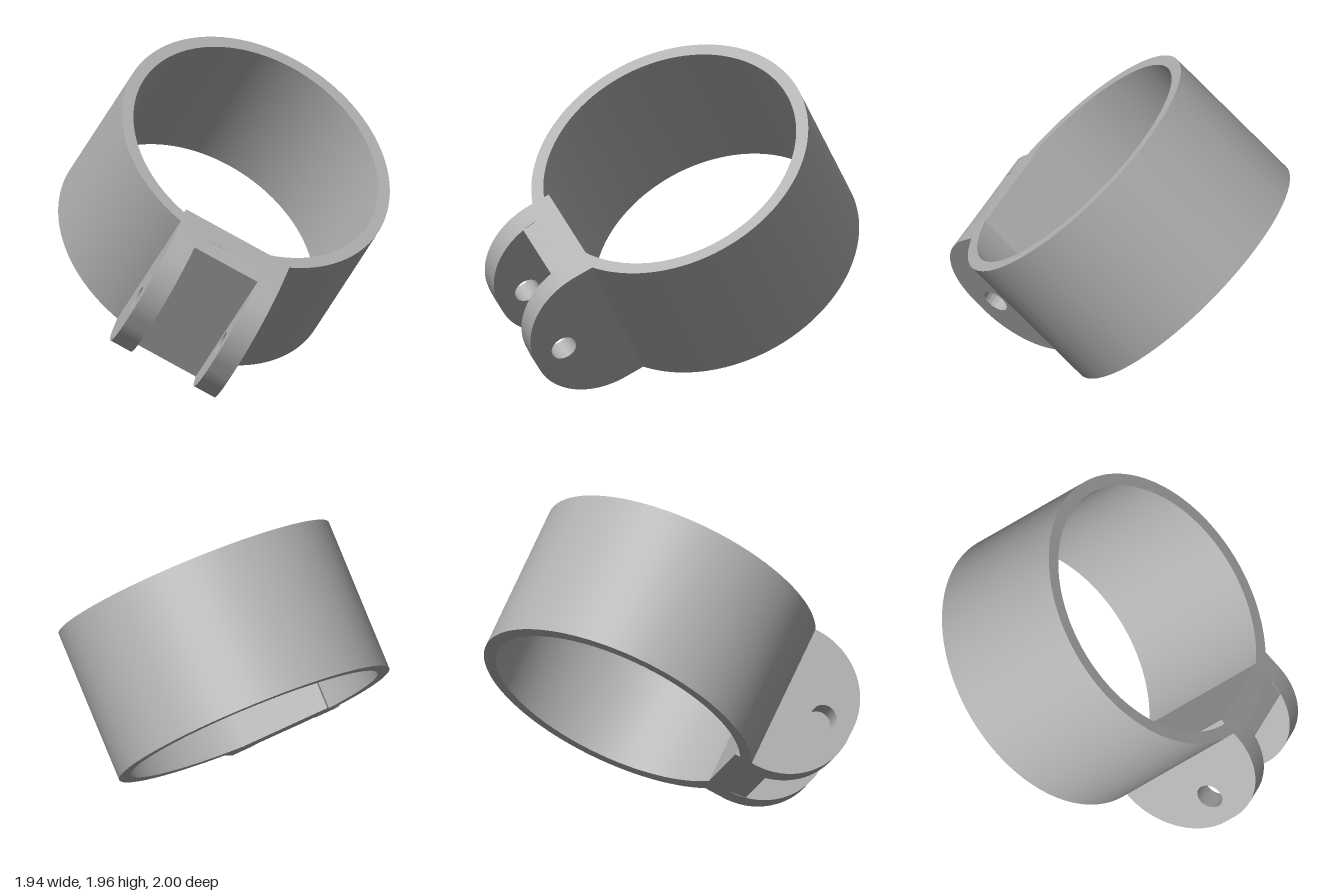
import * as THREE from 'three';
import { toCreasedNormals } from 'three/addons/utils/BufferGeometryUtils.js';

const HALF = 0.467; // half the band's height
const OUTER = 0.857, INNER = 0.782;

// Extrudes a shape from z0 to z1, smooth on curves and sharp at edges
function slab(shape, z0, z1, segments) {
  const g = new THREE.ExtrudeGeometry(shape, { depth: z1 - z0, bevelEnabled: false, curveSegments: segments });
  g.translate(0, 0, z0);
  return toCreasedNormals(g, 0.5);
}

export function createModel() {
  const grey = new THREE.MeshStandardMaterial({ color: 0xb0b0b0 });
  grey.name = 'plain grey';

  const add = (parent, name, geometry) => {
    const mesh = new THREE.Mesh(geometry, grey);
    mesh.name = name;
    parent.add(mesh);
  };

  // Whole clamp, tilted towards the front
  const clamp = new THREE.Group();
  clamp.name = 'clamp';
  clamp.position.set(0.1025, 1.0375, -0.0575);
  clamp.rotation.set(0.755, 0, 0.008);

  // Round band
  const circle = new THREE.Shape().absarc(0, 0, OUTER, 0, Math.PI * 2);
  circle.holes.push(new THREE.Path().absarc(0, 0, INNER, 0, Math.PI * 2, true));
  add(clamp, 'band', slab(circle, -HALF, HALF, 96).rotateX(-Math.PI / 2));

  // Fork on the band: local x points outward, y along the band's axis
  const fork = new THREE.Group();
  fork.name = 'fork';
  fork.rotation.y = Math.atan2(-0.70, -0.714);
  clamp.add(fork);

  // Rounded ear with a pin hole
  const root = 0.712, tip = 1.275, r = 0.43;
  const ear = new THREE.Shape();
  ear.moveTo(root, -HALF);
  ear.lineTo(tip - r, -HALF);
  ear.absarc(tip - r, r - HALF, r, -Math.PI / 2, 0);
  ear.absarc(tip - r, HALF - r, r, 0, Math.PI / 2);
  ear.lineTo(root, HALF);
  ear.closePath();
  ear.holes.push(new THREE.Path().absarc(1.09, 0, 0.078, 0, Math.PI * 2, true));
  add(fork, 'leftEar', slab(ear, -0.455, -0.318, 32));
  add(fork, 'rightEar', slab(ear, 0.104, 0.242, 32));

  // Block joining the ears, flat towards the inside of the band
  const block = new THREE.Shape([
    [root, -HALF], [tip - r, -HALF], [0.95, -0.454],
    [0.95, 0.454], [tip - r, HALF], [root, HALF],
  ].map(([x, y]) => new THREE.Vector2(x, y)));
  add(fork, 'forkBlock', slab(block, -0.318, 0.104, 1));

  const model = new THREE.Group();
  model.name = 'pipeClamp';
  model.add(clamp);
  return model;
}
